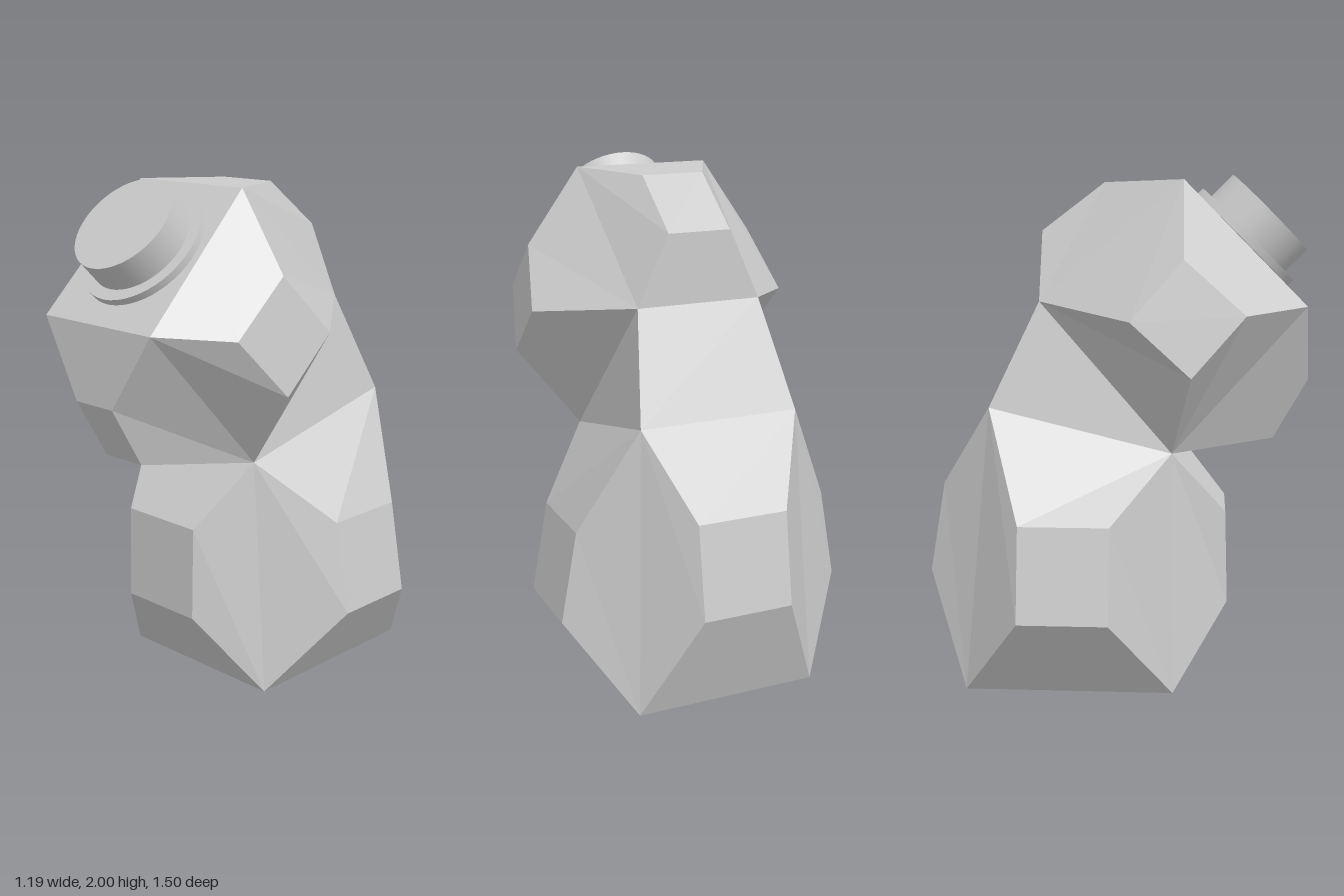
import * as THREE from 'three';

const material = new THREE.MeshStandardMaterial({ color: 0xcccccc, flatShading: true });
const smooth = new THREE.MeshStandardMaterial({ color: 0xcccccc });

const mirror = ([x, y, z]) => [-x, y, z];

// Faceted mesh from polygons whose corners run counter-clockwise from outside
function facetMesh(name, polygons) {
  const positions = [];
  for (const p of polygons) {
    for (let i = 1; i < p.length - 1; i++) positions.push(...p[0], ...p[i], ...p[i + 1]);
  }
  const geometry = new THREE.BufferGeometry();
  geometry.setAttribute('position', new THREE.Float32BufferAttribute(positions, 3));
  geometry.computeVertexNormals();
  const mesh = new THREE.Mesh(geometry, material);
  mesh.name = name;
  return mesh;
}

// Quad spanning both sides between two left-hand profile points
const span = (p, q) => [mirror(p), p, q, mirror(q)];

// Raised panel: sloping rim between an outer and an inner quad, plus the inner quad
function panel(outer, inner) {
  const rim = outer.map((p, i) => {
    const j = (i + 1) % 4;
    return [p, outer[j], inner[j], inner[i]];
  });
  return [...rim, inner];
}

// The polygons together with their mirror images
const bothSides = (polygons) => [
  ...polygons,
  ...polygons.map((p) => p.map(mirror).reverse()),
];

export function createModel() {
  const model = new THREE.Group();
  model.name = 'hunchedFigure';

  // Left-hand corners of the cage, front base round to back base
  const baseFront = [0.37, 0, 0.23];
  const throat = [0.30, 0.935, 0.22];
  const chin = [0.29, 1.5, 0.73];
  const brow = [0.275, 1.975, 0.26];
  const nape = [0.25, 1.515, -0.295];
  const shoulder = [0.32, 1.11, -0.485];
  const baseBack = [0.37, 0, -0.58];

  // Body: flat base with raised panels on four sides
  model.add(facetMesh('body', [
    span(baseBack, baseFront),
    ...panel(span(baseFront, throat), span([0.18, 0.32, 0.44], [0.18, 0.685, 0.43])),
    ...panel(span(shoulder, baseBack), span([0.18, 0.79, -0.69], [0.18, 0.43, -0.75])),
    ...bothSides(panel(
      [baseFront, baseBack, shoulder, throat],
      [[0.595, 0.33, -0.005], [0.595, 0.33, -0.35], [0.53, 0.69, -0.35], [0.53, 0.69, -0.005]],
    )),
  ]));

  // Neck: wedge hinged at the throat
  model.add(facetMesh('neck', [
    span(nape, shoulder),
    ...bothSides([[throat, shoulder, nape]]),
  ]));

  // Head: tilted block, flat face, raised panels elsewhere
  model.add(facetMesh('head', [
    span(chin, brow),
    ...panel(span(throat, chin), span([0.10, 0.97, 0.615], [0.10, 1.205, 0.75])),
    ...panel(span(brow, nape), span([0.125, 1.97, -0.05], [0.125, 1.785, -0.295])),
    ...bothSides(panel(
      [throat, nape, brow, chin],
      [[0.54, 1.25, 0.295], [0.54, 1.455, 0.07], [0.485, 1.68, 0.265], [0.485, 1.475, 0.495]],
    )),
  ]));

  // Eye: round collar and barrel standing out of the sloping face
  const eye = new THREE.Group();
  eye.name = 'eye';
  eye.position.set(0, 1.748, 0.488);
  eye.rotation.x = Math.PI / 4;
  for (const [name, radius, height] of [['eyeCollar', 0.255, 0.03], ['eyeBarrel', 0.208, 0.15]]) {
    const part = new THREE.Mesh(new THREE.CylinderGeometry(radius, radius, height, 48), smooth);
    part.name = name;
    part.position.y = height / 2;
    eye.add(part);
  }
  model.add(eye);

  return model;
}
